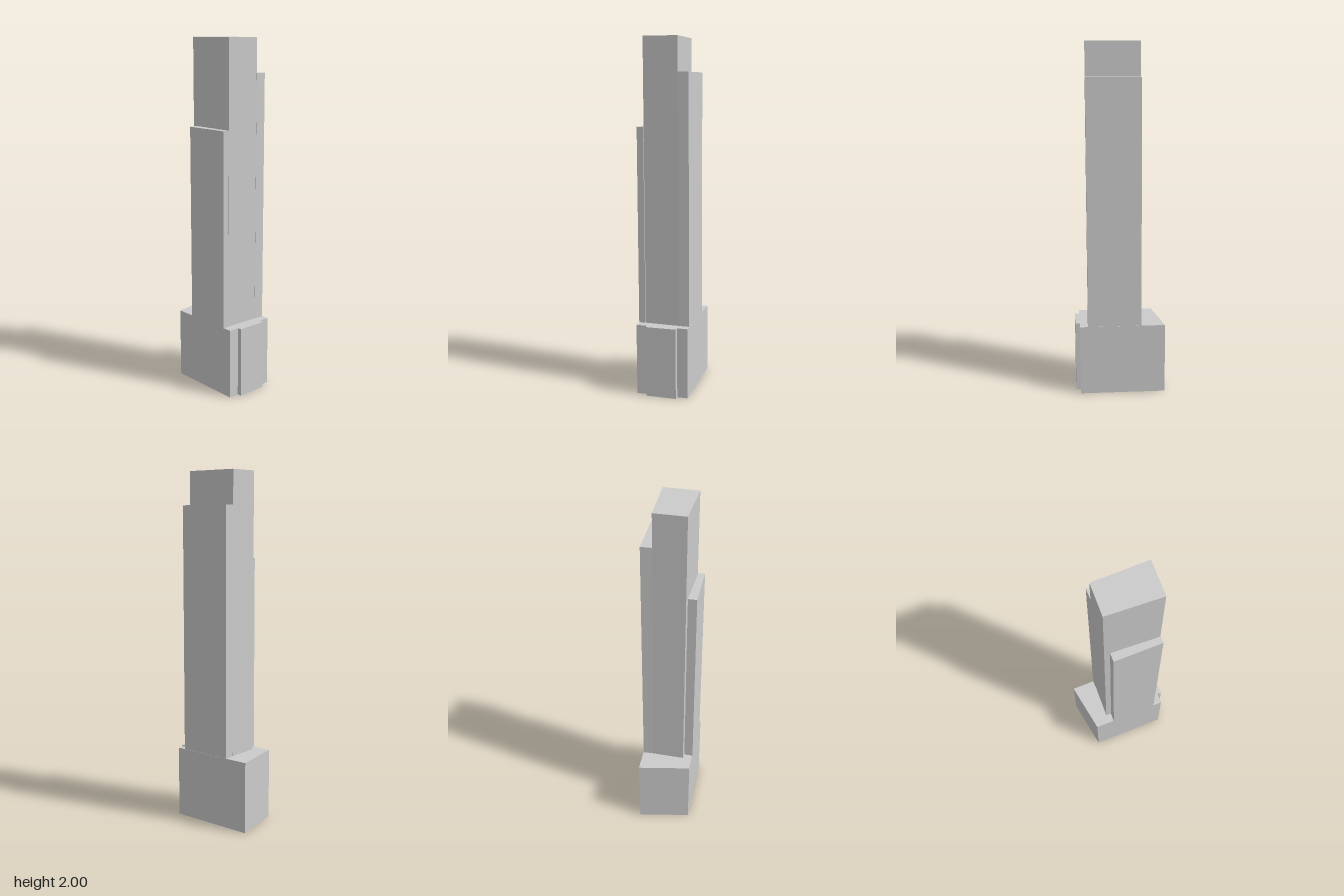
import * as THREE from 'three';

const material = new THREE.MeshStandardMaterial({ color: 0xcccccc, flatShading: true });

// Slight lean of the whole tower, per unit of height
const LEAN_X = 0.002, LEAN_Z = 0.006;

// Prism whose roof outline is given as [x, z] points; walls lean slightly
function block(name, outline, bottom, top) {
  const shape = new THREE.Shape(outline.map(([x, z]) => new THREE.Vector2(x, -z)));
  const geo = new THREE.ExtrudeGeometry(shape, { depth: top - bottom, bevelEnabled: false });
  geo.rotateX(-Math.PI / 2).translate(0, bottom, 0);
  const p = geo.attributes.position;
  for (let i = 0; i < p.count; i++) {
    const drop = top - p.getY(i);
    p.setX(i, p.getX(i) - LEAN_X * drop);
    p.setZ(i, p.getZ(i) - LEAN_Z * drop);
  }
  geo.computeVertexNormals();
  const mesh = new THREE.Mesh(geo, material);
  mesh.name = name;
  return mesh;
}

export function createModel() {
  const group = new THREE.Group();
  group.name = 'tower';
  group.add(
    // Wide podium with a stepped bay on its right end
    block('podium', [
      [-0.187, -0.233], [0.26, -0.037], [0.234, 0.018], [0.258, 0.03],
      [0.187, 0.189], [0.164, 0.18], [0.139, 0.235], [-0.262, 0.057],
    ], 0, 0.405),
    // Full-height core
    block('core', [
      [-0.085, -0.11], [0.196, 0.01], [0.109, 0.187], [-0.163, 0.052],
    ], 0.4, 2),
    // Rear slab, one step below the roof
    block('rearSlab', [
      [-0.06, -0.169], [0.221, -0.045], [0.196, 0.01], [-0.085, -0.11],
    ], 0.4, 1.81),
    // Front slab, lower step
    block('frontSlab', [
      [-0.137, 0.065], [0.109, 0.187], [0.092, 0.221], [-0.158, 0.11],
    ], 0.4, 1.515),
  );
  return group;
}
